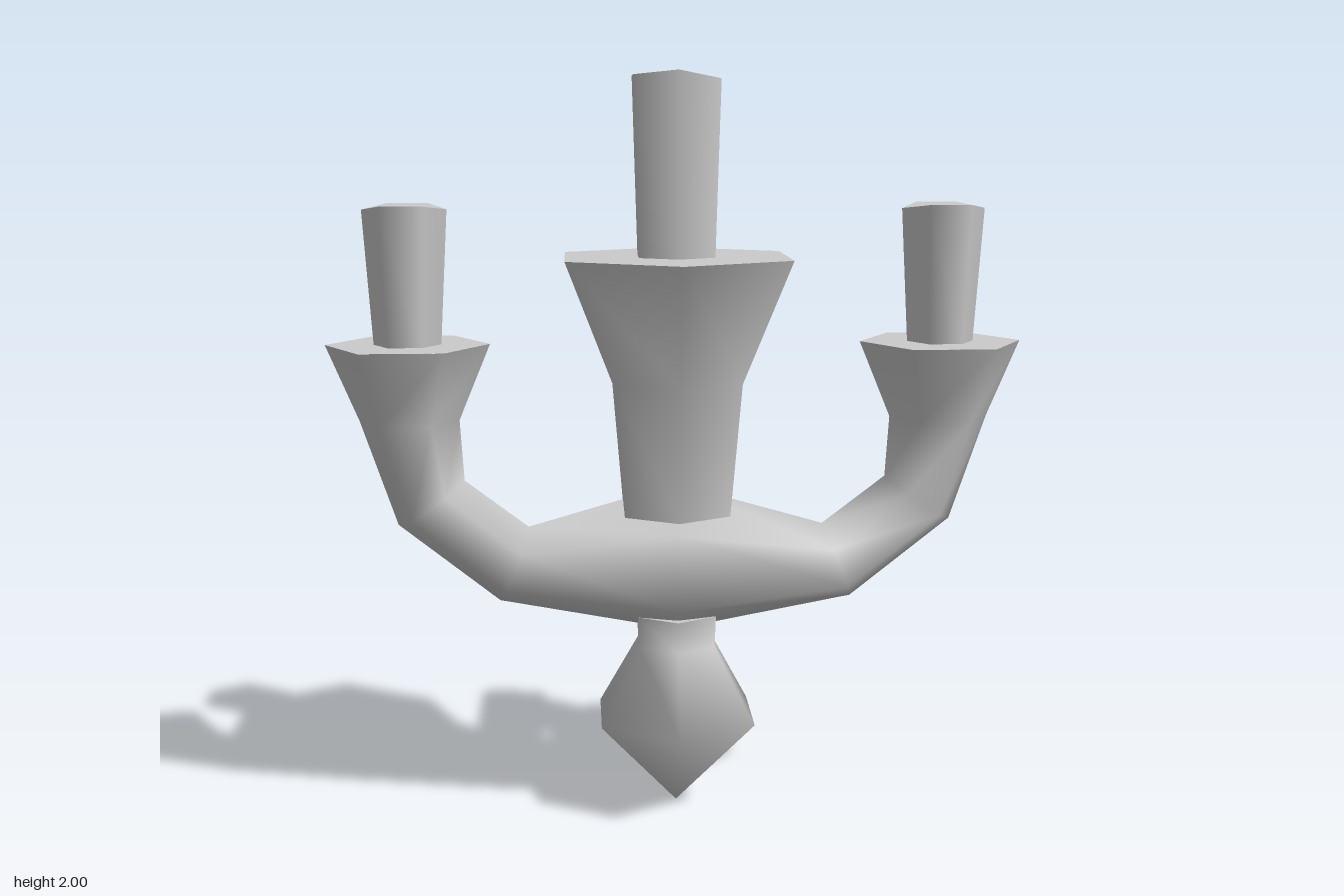
import * as THREE from 'three';
import { mergeGeometries } from 'three/addons/utils/BufferGeometryUtils.js';

const Z = 0.125; // depth of the main vertical plane
const material = new THREE.MeshStandardMaterial({ color: 0xcccccc });

function part(name, geometry, x = 0, y = 0, z = Z) {
  const mesh = new THREE.Mesh(geometry, material);
  mesh.name = name;
  mesh.position.set(x, y, z);
  return mesh;
}

// Six-sided turned solid with flat end caps; profile is [radius, y] from bottom to top.
function hexSolid(profile, turn = 0) {
  const lathe = (pts) => new THREE.LatheGeometry(pts.map(([r, y]) => new THREE.Vector2(r, y)), 6, turn);
  const first = profile[0], last = profile[profile.length - 1];
  const pieces = [lathe(profile)];
  if (first[0] > 0) pieces.push(lathe([[0, first[1]], first]));
  if (last[0] > 0) pieces.push(lathe([last, [0, last[1]]]));
  return mergeGeometries(pieces);
}

// Tapered candle whose top is made slightly uneven by a rule.
function candle(rBottom, rTop, yBottom, yTop, turn, drop) {
  const geometry = hexSolid([[rBottom, yBottom], [rTop, yTop]], turn);
  const pos = geometry.attributes.position;
  for (let i = 0; i < pos.count; i++) {
    if (pos.getY(i) > yTop - 1e-4) pos.setY(i, yTop - drop(pos.getX(i)));
  }
  return geometry;
}

// Arm sections: inner x, inner y, outer x, outer y, half depth.
const armSections = [
  [0.495, 1.29, 0.93, 1.29, 0.19],
  [0.58, 1.085, 0.845, 1.085, 0.115],
  [0.57, 0.92, 0.75, 0.80, 0.1],
  [0.40, 0.79, 0.48, 0.585, 0.105],
  [0, 0.905, 0, 0.495, 0.19],
];

// Hexagonal loft running from one cup, through the hub, to the other cup.
function armGeometry() {
  const mirrored = armSections.slice(0, -1).reverse().map(([a, b, c, d, h]) => [-a, b, -c, d, h]);
  const sections = [...armSections, ...mirrored];
  const positions = [], index = [];
  sections.forEach(([ix, iy, ox, oy, half], i) => {
    for (let k = 0; k < 6; k++) {
      const angle = (k * Math.PI) / 3, c = Math.cos(angle) / 2;
      positions.push(
        (ix + ox) / 2 + (ix - ox) * c,
        (iy + oy) / 2 + (iy - oy) * c,
        (half * Math.sin(angle)) / Math.sin(Math.PI / 3),
      );
      if (i === sections.length - 1) continue;
      const a = i * 6 + k, b = i * 6 + ((k + 1) % 6);
      index.push(a, a + 6, b, b, a + 6, b + 6);
    }
  });
  const geometry = new THREE.BufferGeometry();
  geometry.setAttribute('position', new THREE.Float32BufferAttribute(positions, 3));
  geometry.setIndex(index);
  geometry.computeVertexNormals();
  return geometry;
}

export function createModel() {
  const group = new THREE.Group();
  group.name = 'wallCandelabra';

  // Curved arms with flared ends
  group.add(part('arms', armGeometry()));

  // Central cup and candle
  group.add(part('centreCup', hexSolid([[0.163, 0.83], [0.197, 1.19], [0.34, 1.52]])));
  group.add(part('centreCandle', candle(0.115, 0.131, 1.5, 2, 0,
    (x) => (x > 0.05 ? 0.02 : x < -0.05 ? 0.01 : 0))));

  // Side cup tops and candles
  for (const [side, s] of [['left', 1], ['right', -1]]) {
    const top = new THREE.CircleGeometry(0.2175, 6).rotateX(-Math.PI / 2);
    group.add(part(side + 'CupTop', top, s * 0.7125, 1.29));
    group.add(part(side + 'Candle', candle(0.088, 0.111, 1.27, 1.66, Math.PI / 6,
      (x) => (Math.abs(x) > 0.1 ? 0.015 : 0.003)), s * 0.7125));
  }

  // Hanging pointed finial
  group.add(part('finial', hexSolid([[0, 0], [0.24, 0.255], [0.118, 0.46], [0.122, 0.547]])));

  // Four-sided wall mount
  const rod = new THREE.CylinderGeometry(0.103, 0.103, 0.575, 4).rotateX(Math.PI / 2);
  group.add(part('wallMount', rod, 0, 0.7, -0.1875));

  return group;
}
